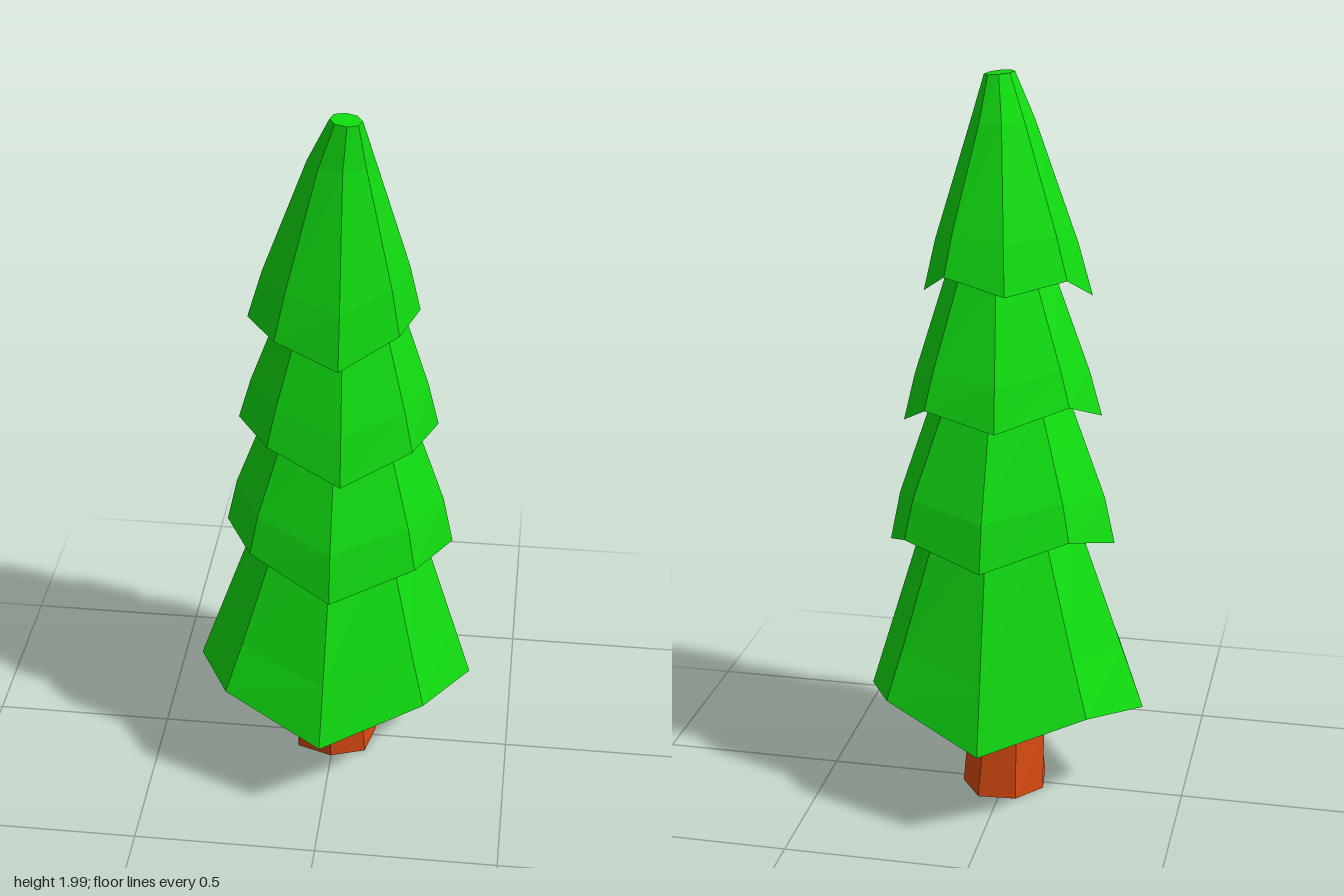
import * as THREE from 'three';

// Faceted skin through rings of points; a ring with r = 0 closes an end.
function loft(rings, sides) {
  const pts = rings.map((g) => Array.from({ length: sides }, (_, i) => {
    const a = (i / sides) * Math.PI * 2 - THREE.MathUtils.degToRad(g.turn || 0);
    const c = Math.cos(a), s = Math.sin(a);
    const r = g.r * (1 + (g.rough || 0) * Math.sin(i * 2.4 + g.y * 20));
    // Odd corners lift, and the ring tilts along x and z
    const y = g.y + (i % 2) * (g.lift || 0) + c * (g.tiltX || 0) + s * (g.tiltZ || 0);
    return [(g.x || 0) + c * r, y, (g.z || 0) + s * r];
  }));
  const v = [];
  for (let k = 0; k + 1 < rings.length; k++) {
    for (let i = 0; i < sides; i++) {
      const j = (i + 1) % sides;
      const a = pts[k][i], b = pts[k][j], c = pts[k + 1][i], d = pts[k + 1][j];
      if (rings[k].r > 0) v.push(...a, ...c, ...b);
      if (rings[k + 1].r > 0) v.push(...b, ...c, ...d);
    }
  }
  const geo = new THREE.BufferGeometry();
  geo.setAttribute('position', new THREE.Float32BufferAttribute(v, 3));
  geo.computeVertexNormals();
  return geo;
}

export function createModel() {
  const model = new THREE.Group();
  model.name = 'pineTree';
  const needles = new THREE.MeshStandardMaterial({ color: 0x10dc10, flatShading: true });
  needles.name = 'needle green';
  const bark = new THREE.MeshStandardMaterial({ color: 0xd84a12, flatShading: true });
  bark.name = 'bark brown';

  const add = (name, geo, mat) => {
    const mesh = new THREE.Mesh(geo, mat);
    mesh.name = name;
    model.add(mesh);
  };

  // Rough seven-sided trunk
  add('trunk', loft([
    { r: 0, y: 0.01, z: -0.005 },
    { r: 0.118, y: 0.01, z: -0.005, rough: 0.07, turn: 12 },
    { r: 0.11, y: 0.18, z: 0.008, rough: 0.08, turn: 12 },
    { r: 0.103, y: 0.29, z: 0.015, rough: 0.08, turn: 12 },
    { r: 0.1, y: 0.46, z: 0.01, rough: 0.05, turn: 12 },
    { r: 0, y: 0.46, z: 0.01 },
  ], 7), bark);

  // Skirts of branches: a drooping rim, a shoulder and a narrow top
  const tiers = [
    { rim: { r: 0.385, y: 0.275, lift: 0.085 },
      top: { r: 0.2, y: 0.84, x: 0.013 }, bulge: 1.0 },
    { rim: { r: 0.31, y: 0.738, lift: 0.065, x: 0.013, tiltX: -0.017, tiltZ: -0.027, turn: 1 },
      top: { r: 0.172, y: 1.18, x: 0.015, z: 0.01, turn: 2 }, bulge: 1.05 },
    { rim: { r: 0.265, y: 1.092, lift: 0.055, x: 0.01, tiltX: -0.018, tiltZ: -0.04, turn: 7 },
      top: { r: 0.137, y: 1.5, x: 0.02, z: 0.022, turn: 7 }, bulge: 1.03 },
    { rim: { r: 0.222, y: 1.43, lift: 0.045, z: 0.025, tiltX: -0.003, tiltZ: -0.047, turn: 9 },
      top: { r: 0.083, y: 1.88, x: 0.022, z: 0.066, turn: 9 }, bulge: 1.04 },
  ];
  tiers.forEach(({ rim, top, bulge }, i) => {
    const mix = (p, t) => THREE.MathUtils.lerp(rim[p] || 0, top[p] || 0, t);
    const shoulder = { turn: rim.turn, lift: rim.lift * 0.6 };
    for (const p of ['x', 'y', 'z', 'r', 'tiltX', 'tiltZ']) shoulder[p] = mix(p, 0.3);
    shoulder.r *= bulge;
    const ceiling = { ...rim, r: rim.r * 0.78, y: rim.y + 0.12, lift: 0 };
    const rings = [{ ...ceiling, r: 0, tiltX: 0, tiltZ: 0 }, ceiling, rim, shoulder, top];
    // The last skirt carries on to the blunt, leaning tip
    const end = i === tiers.length - 1 ? { r: 0.04, y: 1.995, x: 0.037, z: 0.092, tiltX: -0.004, turn: 9 } : top;
    if (end !== top) rings.push(end);
    rings.push({ ...end, r: 0, tiltX: 0 });
    add('branchTier' + (i + 1), loft(rings, 8), needles);
  });

  return model;
}
